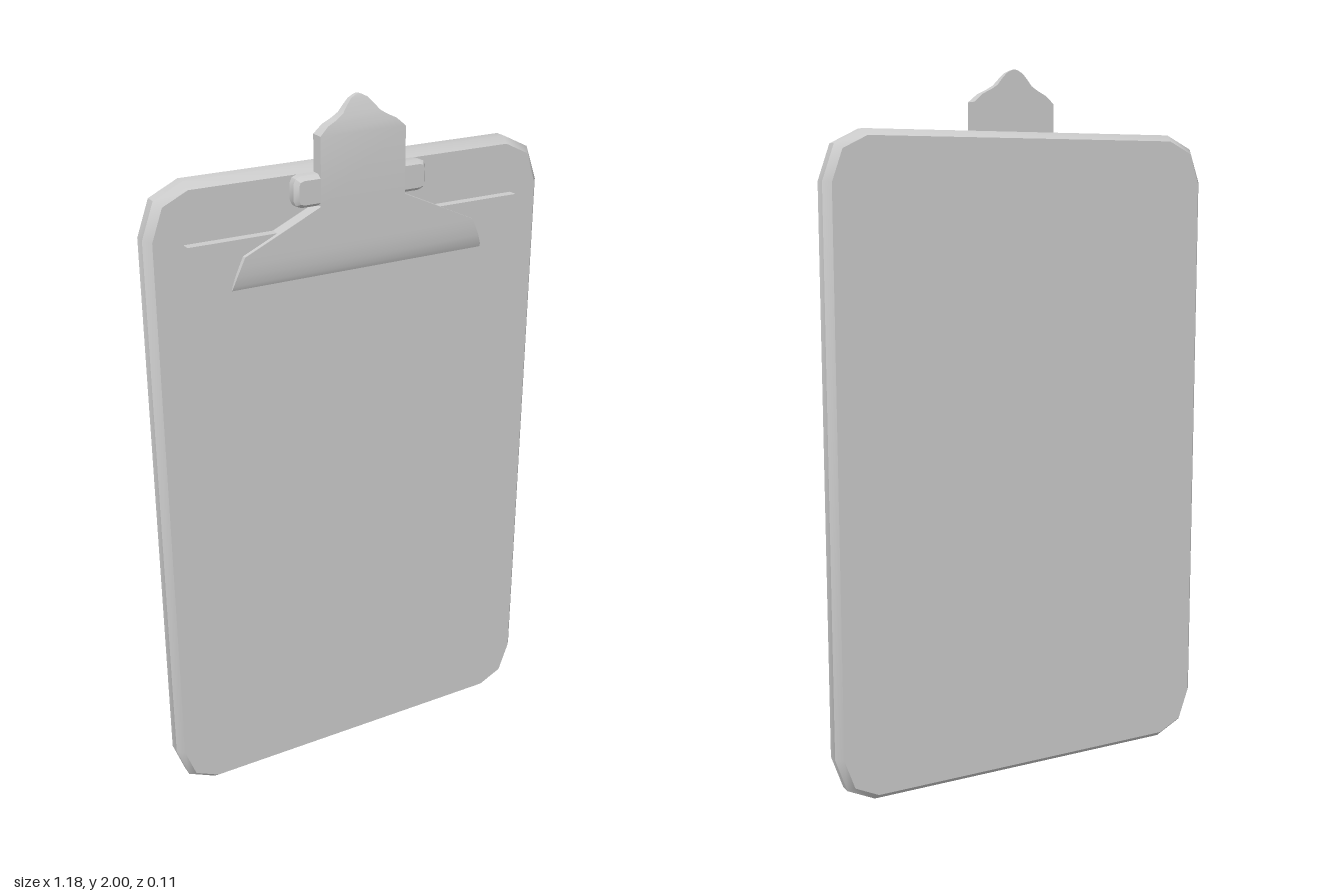
import * as THREE from 'three';
import { toCreasedNormals } from 'three/addons/utils/BufferGeometryUtils.js';

const material = new THREE.MeshStandardMaterial({ color: 0xcccccc });

function addPart(group, name, geometry, crease = 0.6) {
  const mesh = new THREE.Mesh(toCreasedNormals(geometry, crease), material);
  mesh.name = name;
  group.add(mesh);
  return mesh;
}

// Slab with two-step cut corners and a chamfered rim, between z0 and z1
function slab(halfW, y0, y1, z0, z1, cornerX, cornerY, bevelSize, bevelDepth) {
  const cx = (x, sx) => sx * x;
  const quarter = [
    [halfW, cornerY],
    [halfW - cornerX * 0.3, cornerY * 0.29],
    [halfW - cornerX, 0],
  ];
  const points = [];
  for (const [sx, top] of [[1, false], [1, true], [-1, true], [-1, false]]) {
    const corner = quarter.map(([x, d]) => new THREE.Vector2(cx(x, sx), top ? y1 - d : y0 + d));
    // keep the outline running counter-clockwise
    points.push(...((sx > 0) === top ? corner : corner.reverse()));
  }
  const geometry = new THREE.ExtrudeGeometry(new THREE.Shape(points), {
    depth: z1 - z0 - 2 * bevelDepth,
    bevelEnabled: true,
    bevelSegments: 1,
    bevelSize,
    bevelThickness: bevelDepth,
    bevelOffset: -bevelSize,
  });
  return geometry.translate(0, 0, z0 + bevelDepth);
}

// Solid lofted through rows of [y, half width, front z] with a flat back
function loft(rows, back) {
  const positions = [];
  const index = [];
  for (const [y, w, front] of rows) {
    positions.push(-w, y, front, w, y, front, w, y, back, -w, y, back);
  }
  for (let r = 0; r < rows.length - 1; r++) {
    for (let k = 0; k < 4; k++) {
      const a = r * 4 + k;
      const b = r * 4 + ((k + 1) % 4);
      index.push(a, b, b + 4, a, b + 4, a + 4);
    }
  }
  const t = (rows.length - 1) * 4;
  index.push(0, 3, 2, 0, 2, 1, t, t + 1, t + 2, t, t + 2, t + 3);
  const geometry = new THREE.BufferGeometry();
  geometry.setAttribute('position', new THREE.Float32BufferAttribute(positions, 3));
  geometry.setIndex(index);
  return geometry;
}

export function createModel() {
  const group = new THREE.Group();
  group.name = 'clipboard';

  // Backing board
  addPart(group, 'board', slab(0.592, 0, 1.83, -0.057, 0.018, 0.115, 0.135, 0.018, 0.022));

  // Stack of paper
  const paper = addPart(group, 'paper', new THREE.BoxGeometry(0.985, 1.485, 0.028));
  paper.position.set(0, 0.19 + 1.485 / 2, 0.03);

  // Clip: flared jaw, straight tab and a rounded grip leaning back at the top
  addPart(group, 'clip', loft([
    [1.543, 0.378, 0.046],
    [1.555, 0.375, 0.051],
    [1.58, 0.366, 0.055],
    [1.605, 0.355, 0.057],
    [1.63, 0.343, 0.057],
    [1.73, 0.125, 0.057],
    [1.91, 0.125, 0.057],
    [1.932, 0.1, 0.052],
    [1.945, 0.073, 0.049],
    [1.957, 0.054, 0.045],
    [1.975, 0.039, 0.039],
    [1.99, 0.025, 0.033],
    [1.997, 0.012, 0.03],
    [2.0, 0.003, 0.028],
  ], 0.018));

  // Hinge collar crossing the neck of the clip
  addPart(group, 'hingeCollar', slab(0.196, 1.73, 1.813, 0.006, 0.056, 0.022, 0.02, 0.01, 0.014));

  return group;
}
